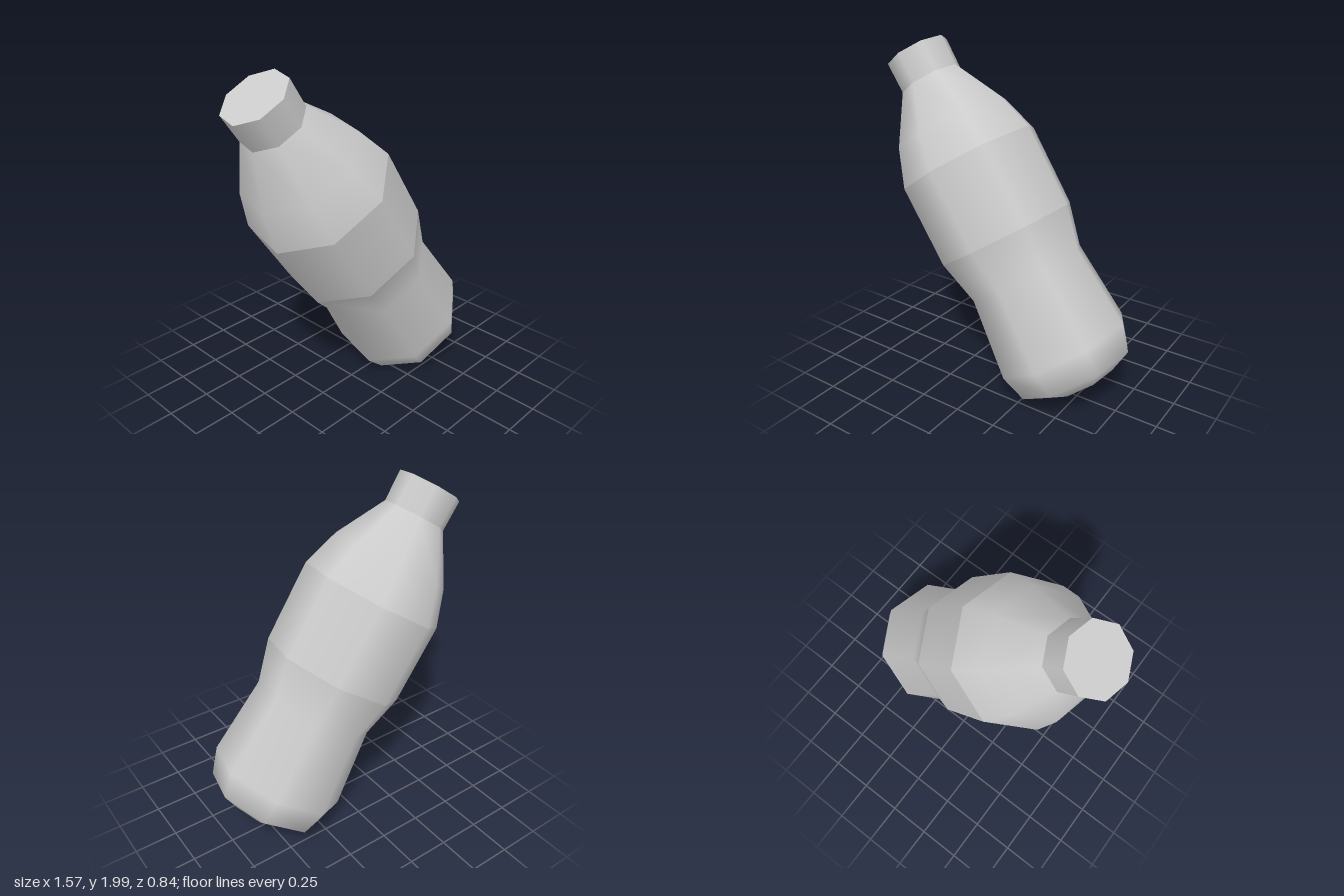
import * as THREE from 'three';

// Eight-sided bottle, leaning sideways. Profiles are [radius, distance along axis].
const SECTIONS = {
  lowerBody: [[0, -0.947], [0.21, -0.947], [0.352, -0.877], [0.4, -0.721], [0.354, -0.254], [0.417, 0.002]],
  labelBand: [[0.417, 0.002], [0.421, 0.482]],
  shoulder: [[0.421, 0.482], [0.346, 0.702], [0.184, 0.981]],
  neck: [[0.184, 0.981], [0.187, 1.162]],
  capTop: [[0.187, 1.162], [0, 1.162]],
};

export function createModel() {
  const model = new THREE.Group();
  const bottle = new THREE.Group();
  bottle.name = 'bottle';
  const material = new THREE.MeshStandardMaterial({ color: 0xcccccc });
  const twist = THREE.MathUtils.degToRad(8.4);

  // Separate sections keep a shading break at each joint
  for (const [name, profile] of Object.entries(SECTIONS)) {
    const points = profile.map(([r, y]) => new THREE.Vector2(r, y));
    const mesh = new THREE.Mesh(new THREE.LatheGeometry(points, 8, twist), material);
    mesh.name = name;
    bottle.add(mesh);
  }

  // Lean the axis
  const axis = new THREE.Vector3(-0.5525, 0.8335, -0.017).normalize();
  bottle.quaternion.setFromUnitVectors(new THREE.Vector3(0, 1, 0), axis);
  bottle.position.set(0.01, 0.927, 0.002);
  model.add(bottle);
  return model;
}
